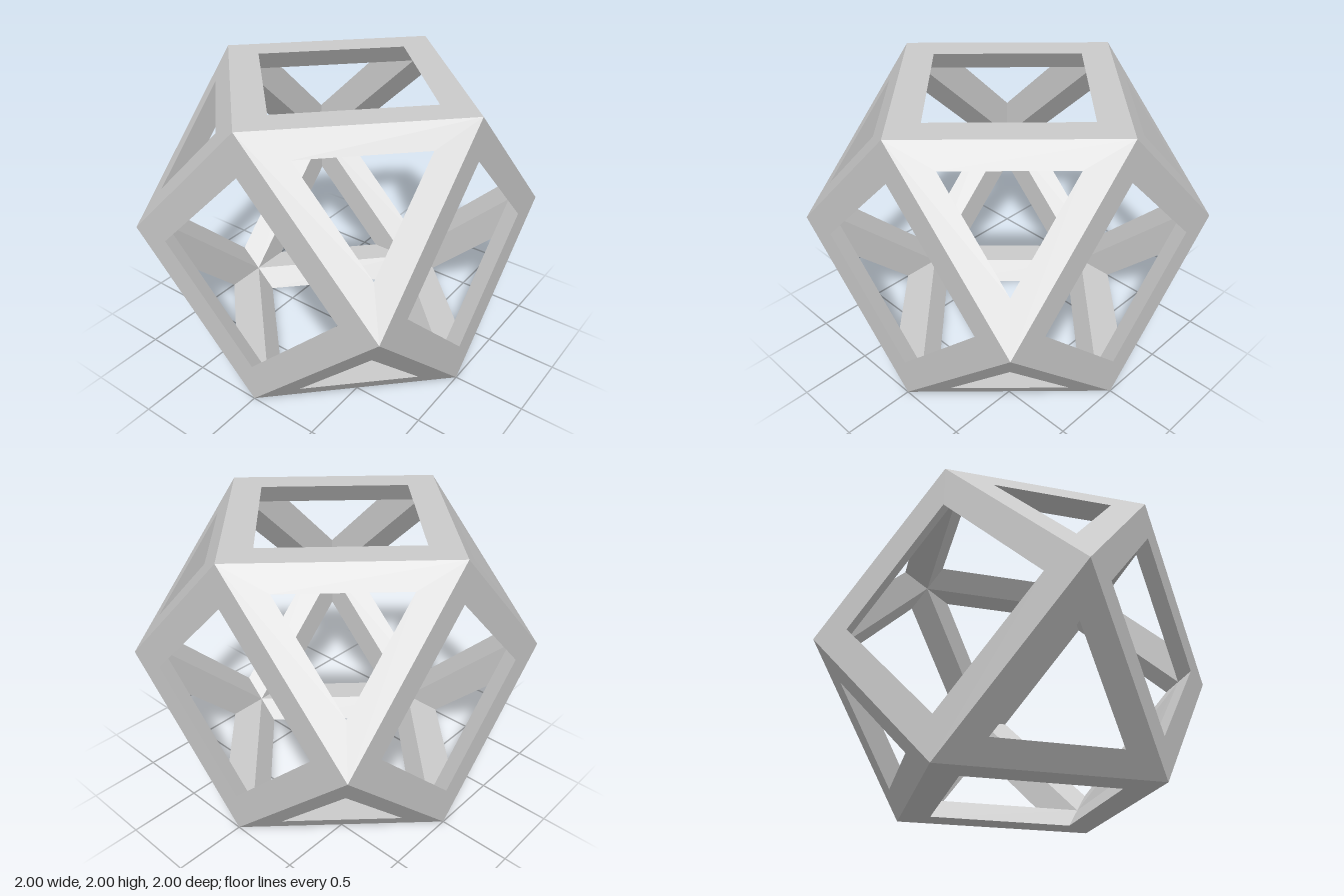
import * as THREE from 'three';

const T = 1 / 7; // wall thickness of the hollow frame

// One mitred bar with a parallelogram section, lying between the square face
// with normal n and the triangular face spanned by n, a and b.
function strutGeometry(n, a, b) {
  const point = (i, j, k) => new THREE.Vector3()
    .addScaledVector(n, i).addScaledVector(a, j).addScaledVector(b, k);
  // coordinates along n, a, b at one end; the other end swaps a and b
  const section = [
    [1, 1, 0],                 // outer edge
    [1, 1 - 2 * T, 0],         // square window edge
    [1 - T, 1 - T, 0],         // inner edge
    [1 - T, 1 - T, 2 * T],     // triangular window edge
  ];
  const start = section.map(([i, j, k]) => point(i, j, k));
  const end = section.map(([i, j, k]) => point(i, k, j));

  const corners = [];
  for (let s = 0; s < 4; s++) {
    const t = (s + 1) % 4;
    corners.push(start[s], end[s], end[t], start[s], end[t], start[t]);
  }
  const geometry = new THREE.BufferGeometry().setFromPoints(corners);
  geometry.computeVertexNormals();
  return geometry;
}

export function createModel() {
  const model = new THREE.Group();
  model.name = 'cuboctahedronFrame';
  const material = new THREE.MeshStandardMaterial({ color: 0xcccccc, flatShading: true });

  // six square frames of four bars; together they also outline the triangles
  const faces = {
    left: [1, 0, 0], right: [-1, 0, 0],
    top: [0, 1, 0], bottom: [0, -1, 0],
    front: [0, 0, 1], back: [0, 0, -1],
  };
  for (const [side, axis] of Object.entries(faces)) {
    const frame = new THREE.Group();
    frame.name = `${side}SquareFrame`;
    const n = new THREE.Vector3(...axis);
    let a = new THREE.Vector3(axis[1], axis[2], axis[0]);
    for (let i = 0; i < 4; i++) {
      const b = n.clone().cross(a);
      const strut = new THREE.Mesh(strutGeometry(n, a, b), material);
      strut.name = `${side}Strut${i + 1}`;
      frame.add(strut);
      a = b;
    }
    model.add(frame);
  }

  model.position.y = 1;
  const root = new THREE.Group();
  root.name = 'model';
  root.add(model);
  return root;
}
